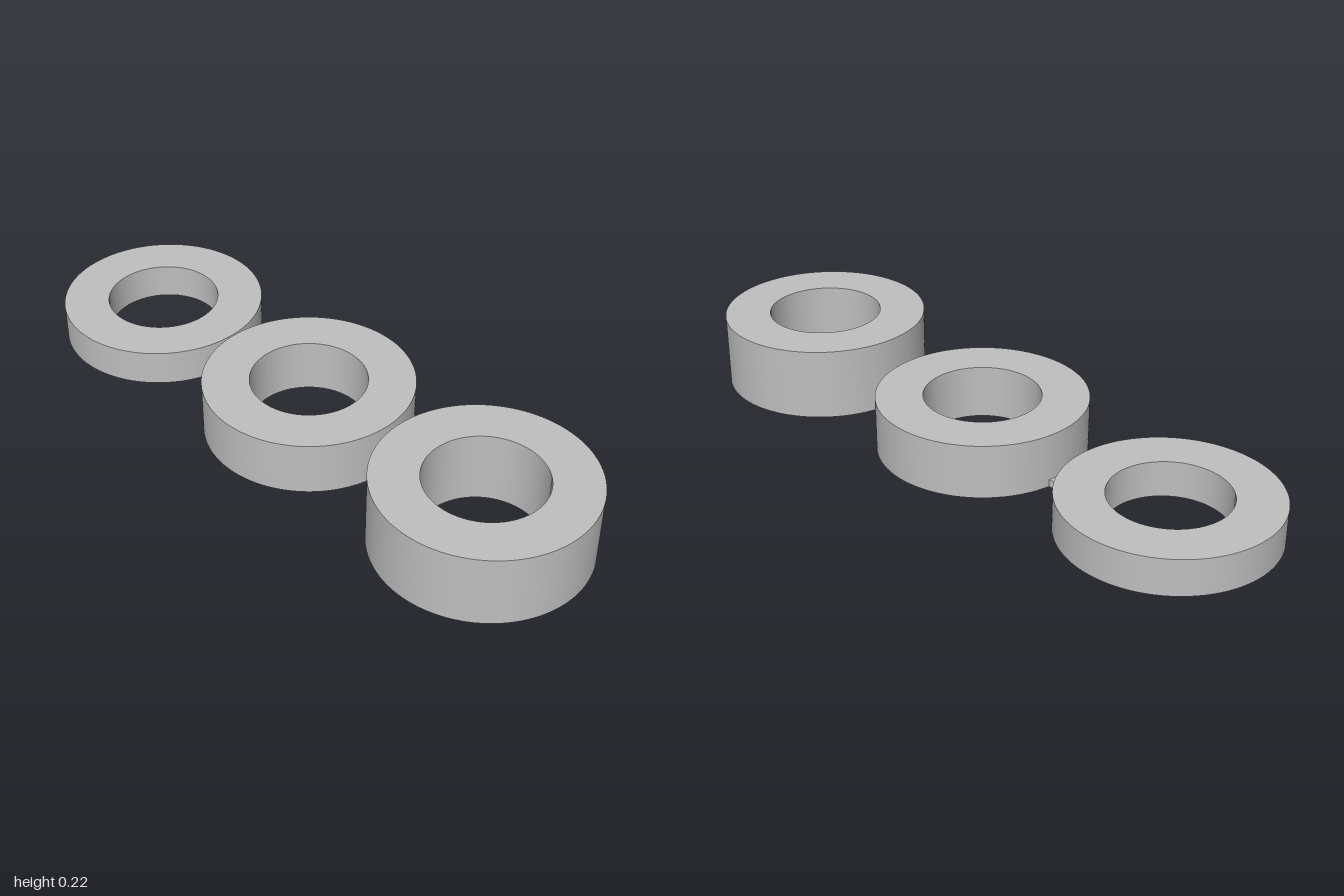
import * as THREE from 'three';
import { toCreasedNormals } from 'three/addons/utils/BufferGeometryUtils.js';

const OUTER = 0.3125, INNER = 0.173, SPACING = 0.6875;

// Upright ring standing on y = 0
function ringGeometry(height) {
  const shape = new THREE.Shape().absarc(0, 0, OUTER, 0, Math.PI * 2, false);
  shape.holes.push(new THREE.Path().absarc(0, 0, INNER, 0, Math.PI * 2, true));
  const geometry = new THREE.ExtrudeGeometry(shape, { depth: height, bevelEnabled: false, curveSegments: 96 });
  geometry.rotateX(-Math.PI / 2);
  return toCreasedNormals(geometry, Math.PI / 6);
}

export function createModel() {
  const group = new THREE.Group();
  group.name = 'steppedRings';
  const grey = new THREE.MeshStandardMaterial({ color: 0xbfbfbf });
  grey.name = 'grey';

  // Three rings rising towards +x
  const rings = [['lowRing', 0.11], ['middleRing', 0.164], ['tallRing', 0.219]];
  rings.forEach(([name, height], i) => {
    const ring = new THREE.Mesh(ringGeometry(height), grey);
    ring.name = name;
    ring.position.x = (i - 1) * SPACING;
    group.add(ring);
  });

  // Thin bridges joining neighbouring rings at the base
  for (const side of [-1, 1]) {
    const link = new THREE.Mesh(new THREE.BoxGeometry(0.11, 0.022, 0.104), grey);
    link.name = side < 0 ? 'rightLink' : 'leftLink';
    link.position.set(side * SPACING / 2, 0.011, 0);
    group.add(link);
  }
  return group;
}
